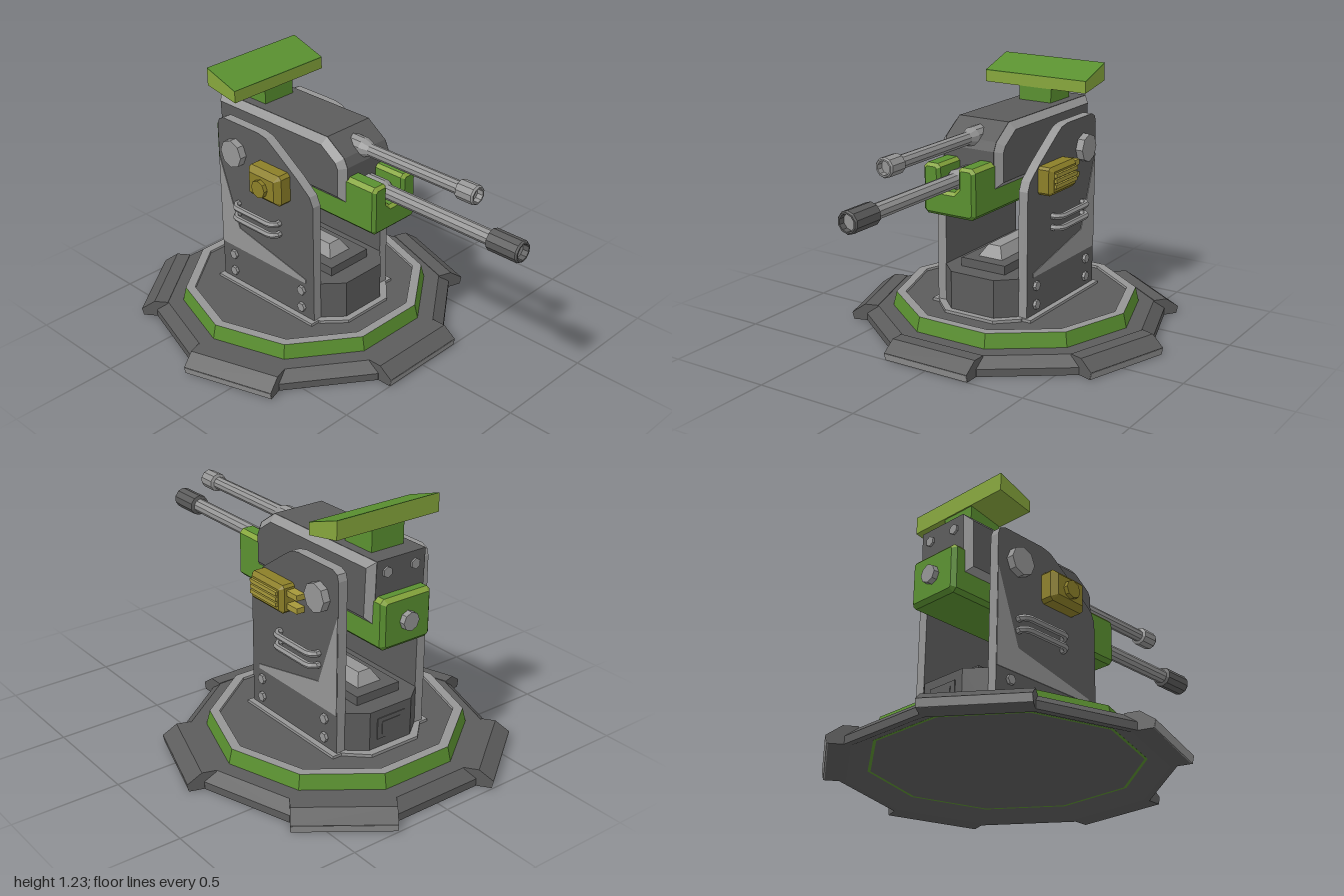
import * as THREE from 'three';

const mat = (name, color) => {
  const m = new THREE.MeshStandardMaterial({ color });
  m.name = name;
  return m;
};

export function createModel() {
  const root = new THREE.Group();
  const dark = mat('dark grey', 0x5c5c5c);
  const light = mat('light grey', 0x959595);
  const green = mat('green', 0x5a9030);
  const lime = mat('light green', 0x86a63c);
  const gold = mat('ochre', 0x8c7f28);
  const paleGold = mat('light ochre', 0xa6983a);

  const flat = (g) => {
    const f = g.index ? g.toNonIndexed() : g;
    f.computeVertexNormals();
    return f;
  };
  const add = (name, geo, material, parent = root) => {
    const m = new THREE.Mesh(flat(geo), material);
    m.name = name;
    parent.add(m);
    return m;
  };
  const shapeOf = (pts) => new THREE.Shape(pts.map(([a, b]) => new THREE.Vector2(a, b)));
  const bevelled = (pts, length, b) => new THREE.ExtrudeGeometry(shapeOf(pts), {
    depth: length - 2 * b, bevelEnabled: b > 0, bevelThickness: b, bevelSize: b, bevelOffset: -b, bevelSegments: 1,
  }).translate(0, 0, b);
  // Outline in (z, y) swept along x
  const alongX = (pts, x0, x1, b = 0) =>
    bevelled(pts.map(([z, y]) => [-z, y]), x1 - x0, b).rotateY(Math.PI / 2).translate(x0, 0, 0);
  // Outline in (x, y) swept along z
  const alongZ = (pts, z0, z1, b = 0) => bevelled(pts, z1 - z0, b).translate(0, 0, z0);
  // Outline in (x, z) swept along y
  const alongY = (pts, y0, y1) =>
    bevelled(pts.map(([x, z]) => [x, -z]), y1 - y0, 0).rotateX(-Math.PI / 2).translate(0, y0, 0);
  // Rectangle with cut corners
  const cutRect = (a0, a1, b0, b1, c) => [[a0 + c, b0], [a1 - c, b0], [a1, b0 + c], [a1, b1 - c],
    [a1 - c, b1], [a0 + c, b1], [a0, b1 - c], [a0, b0 + c]];
  const box = (x0, x1, y0, y1, z0, z1) =>
    new THREE.BoxGeometry(x1 - x0, y1 - y0, z1 - z0).translate((x0 + x1) / 2, (y0 + y1) / 2, (z0 + z1) / 2);
  const lathe = (pts, n, start = 0) =>
    new THREE.LatheGeometry(pts.map(([r, y]) => new THREE.Vector2(r, y)), n, start);
  // Gives upward slanting faces the second material
  const edgeGroups = (geo) => {
    const g = flat(geo);
    const normal = g.attributes.normal;
    g.clearGroups();
    for (let i = 0; i < normal.count; i += 3) {
      const y = normal.getY(i);
      g.addGroup(i, 3, y > 0.3 && y < 0.95 ? 1 : 0);
    }
    return g;
  };

  // Ten-sided platform with a recessed underside
  const base = new THREE.Group();
  base.name = 'platform';
  base.position.z = -0.255;
  root.add(base);
  const ten = (pts) => lathe(pts, 10, Math.PI / 10);
  add('outerRing', ten([[0.598, 0.04], [0.69, 0], [0.72, 0], [0.72, 0.035], [0.668, 0.078], [0.57, 0.078]]), dark, base);
  add('greenRim', ten([[0.586, 0.039], [0.599, 0.039], [0.592, 0.079], [0.576, 0.146]]), green, base);
  add('deckRing', ten([[0.576, 0.146], [0.532, 0.146], [0.53, 0.13]]), light, base);
  add('deck', ten([[0.535, 0.135], [0, 0.135]]), dark, base);
  add('underside', ten([[0, 0.04], [0.59, 0.04]]), dark, base);
  const footProfile = [[0.63, 0.02], [0.67, 0], [0.751, 0], [0.76, 0.035], [0.695, 0.081], [0.63, 0.081]];
  const footLip = [[0.748, 0], [0.754, 0], [0.7615, 0.033], [0.756, 0.033]];
  for (let i = 0; i < 5; i++) {
    const foot = new THREE.Group();
    foot.name = 'foot';
    foot.rotation.y = i * Math.PI * 0.4;
    base.add(foot);
    add('footWedge', alongX(footProfile, -0.221, 0.221), dark, foot);
    add('footLip', alongX(footLip, -0.22, 0.22), light, foot);
  }

  // Pedestal between the side plates
  const octagon = (x, xi, zf, zfi, zb, zbi) =>
    [[xi, zf], [x, zfi], [x, zbi], [xi, zb], [-xi, zb], [-x, zbi], [-x, zfi], [-xi, zf]];
  add('pedestalFlange', alongY(octagon(0.225, 0.13, 0.16, 0.07, -0.66, -0.57), 0.125, 0.149), light);
  add('plateFlange', box(-0.27, 0.27, 0.125, 0.148, -0.57, 0.06), light);
  add('pedestal', alongY(octagon(0.2, 0.115, 0.13, 0.05, -0.626, -0.56), 0.13, 0.33), dark);
  add('pedestalStep', box(-0.118, 0.118, 0.33, 0.372, -0.54, 0.04), dark);
  const ridge = box(-0.065, 0.065, 0.37, 0.425, -0.48, -0.02);
  const rp = ridge.attributes.position;
  for (let i = 0; i < rp.count; i++)
    if (rp.getY(i) > 0.4) rp.setXYZ(i, rp.getX(i) * 0.5, 0.425, -0.25 + (rp.getZ(i) + 0.25) * 0.84);
  add('pedestalRidge', ridge, light);
  add('rearHatch', box(-0.075, 0.075, 0.19, 0.29, -0.63, -0.62), dark);
  add('rearHatchPanel', box(-0.05, 0.05, 0.21, 0.27, -0.633, -0.62), dark);

  // Side plates with their fittings
  const plate = [[0.05, 0.145], [0.05, 0.74], [0.03, 0.785], [-0.05, 0.85], [-0.2, 0.955], [-0.24, 0.98],
    [-0.29, 0.99], [-0.52, 0.99], [-0.55, 0.975], [-0.56, 0.945], [-0.56, 0.145]];
  const patch = [[0, 0.33], [0, 0.35], [-0.435, 0.445], [-0.558, 0.79], [-0.558, 0.33]];
  const peg = (r, x0, x1, y, z, n) =>
    new THREE.CylinderGeometry(r, r, x1 - x0, n).rotateZ(Math.PI / 2).translate((x0 + x1) / 2, y, z);
  for (const s of [-1, 1]) {
    const side = new THREE.Group();
    side.name = s > 0 ? 'leftSide' : 'rightSide';
    root.add(side);
    const sx = (a, b) => (s > 0 ? [a, b] : [-b, -a]);
    add('sidePlate', alongX(plate, ...sx(0.197, 0.243)), [dark, light], side);
    add('platePatch', alongX(patch, ...sx(0.241, 0.246)), light, side);
    add('trunnion', peg(0.067, ...sx(0.14, 0.278), 0.845, -0.44, 8), light, side);
    for (const z of [-0.025, -0.48]) for (const y of [0.195, 0.285])
      add('plateBolt', peg(0.023, ...sx(0.24, 0.257), y, z, 6), light, side);
    for (const y of [0.525, 0.58]) {
      const path = new THREE.CurvePath();
      const p = [[0.235, -0.165], [0.265, -0.165], [0.285, -0.19], [0.285, -0.41], [0.265, -0.435], [0.235, -0.435]]
        .map(([x, z]) => new THREE.Vector3(s * x, y, z));
      for (let i = 1; i < p.length; i++) path.add(new THREE.LineCurve3(p[i - 1], p[i]));
      add('handRail', new THREE.TubeGeometry(path, 24, 0.015, 6), light, side);
    }
  }

  // Ochre boxes: slatted one on the left, bossed one on the right
  add('slattedBox', alongX(cutRect(-0.265, -0.035, 0.71, 0.84, 0.012), 0.2, 0.316, 0.018), gold);
  for (const y of [0.754, 0.779, 0.804])
    add('slat', box(0.31, 0.328, y - 0.009, y + 0.009, -0.243, -0.055), paleGold);
  for (const y of [0.745, 0.805])
    add('prong', box(0.235, 0.285, y - 0.013, y + 0.013, -0.335, -0.25), paleGold);
  add('bossedBox', alongX(cutRect(-0.295, -0.09, 0.71, 0.86, 0.015), -0.322, -0.2, 0.025), gold);
  add('boxBoss', peg(0.042, -0.342, -0.31, 0.78, -0.195, 8), gold);

  // Gun housing: light chamfers along dark faces
  const housing = [[0.15, 0.76], [0.15, 0.93], [0.13, 0.97], [0.03, 1.04], [-0.66, 1.04], [-0.65, 0.76]];
  add('housing', alongX(housing, -0.16, 0.16, 0.03), [dark, light]);
  const band = housing.map(([z, y]) => [-0.255 + (z + 0.255) * 1.004, 0.9 + (y - 0.9) * 1.012]);
  add('housingBand', alongX(band, -0.13, 0.13), dark);
  for (const x of [-0.075, 0.075])
    add('housingBolt', new THREE.CylinderGeometry(0.024, 0.024, 0.03, 6).rotateX(Math.PI / 2).translate(x, 0.985, -0.654), light);

  // Green cradle with a notch for the lower barrel
  add('cradle', edgeGroups(alongZ(cutRect(-0.134, 0.134, 0.655, 0.885, 0.018), -0.71, 0.12, 0.018)), [green, lime]);
  const half = [[0.116, 0.655], [0.134, 0.673], [0.134, 0.867], [0.116, 0.885], [0.063, 0.885], [0.048, 0.87],
    [0.048, 0.79], [0.025, 0.768]];
  const fork = [...half, ...half.map(([x, y]) => [-x, y]).reverse()];
  add('cradleFork', edgeGroups(alongZ(fork, 0.06, 0.312, 0.014)), [green, lime]);
  add('cradleBolt', new THREE.CylinderGeometry(0.042, 0.042, 0.05, 8).rotateX(Math.PI / 2).translate(0, 0.77, -0.712), light);

  // Barrels with shallow bores
  const gun = (name, y, barrel, muzzle, muzzleMat) => {
    const g = new THREE.Group();
    g.name = name;
    g.position.y = y;
    g.rotation.x = Math.PI / 2;
    root.add(g);
    add('barrel', lathe(barrel, 10), light, g);
    const [z0, z1, r] = muzzle;
    add('muzzle', lathe([[0.025, z0 - 0.008], [r, z0], [r, z1 - 0.008], [r - 0.006, z1], [r - 0.013, z1], [r - 0.013, z1 - 0.03]], 10), muzzleMat, g);
    add('bore', lathe([[r - 0.012, z1 - 0.028], [0, z1 - 0.028]], 10), light, g);
  };
  gun('upperGun', 0.977, [[0.045, 0.04], [0.045, 0.13], [0.03, 0.17], [0.03, 0.7]], [0.67, 0.76, 0.044], light);
  gun('lowerGun', 0.81, [[0.047, 0.05], [0.047, 0.25], [0.034, 0.27], [0.034, 0.88]], [0.845, 1, 0.05], dark);

  // Tilted top panel on its neck
  add('panelNeck', alongX([[-0.405, 1.03], [-0.405, 1.115], [-0.575, 1.145], [-0.575, 1.03]], -0.086, 0.086), green);
  add('topPanel', alongX([[-0.4, 1.108], [-0.4, 1.163], [-0.58, 1.223], [-0.58, 1.14]], -0.272, 0.272), lime);
  add('topPanelFace', alongX([[-0.4, 1.161], [-0.4, 1.165], [-0.58, 1.225], [-0.58, 1.221]], -0.272, 0.272), green);
  return root;
}
